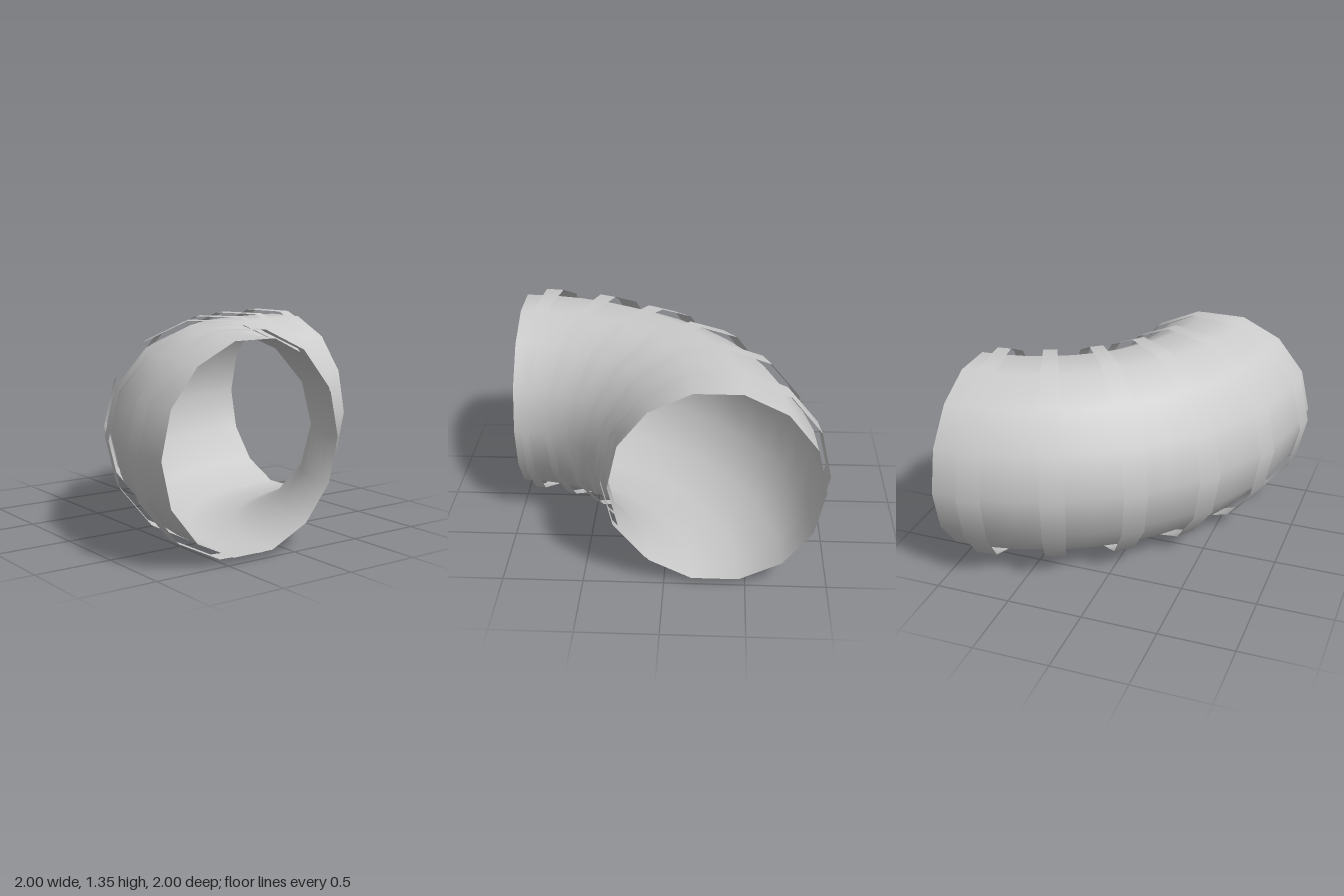
import * as THREE from 'three';

const SIDES = 14;
const BEND_RADIUS = 1.315;
const PIPE_RADIUS = 0.65;
const BAND_RADIUS = 0.694;
const deg = THREE.MathUtils.degToRad;

// Open section of a bent tube, swept about the vertical axis from the back end (0) to the side end (90)
function bendSection(radius, startDeg, sweepDeg, segments) {
  const geometry = new THREE.TorusGeometry(BEND_RADIUS, radius, SIDES, segments, deg(sweepDeg));
  geometry.rotateZ(Math.PI - deg(startDeg + sweepDeg));
  geometry.rotateX(Math.PI / 2);
  return geometry;
}

export function createModel() {
  const model = new THREE.Group();
  model.name = 'elbowPipe';
  const material = new THREE.MeshStandardMaterial({ color: 0xcccccc, side: THREE.DoubleSide });

  // Quarter-turn pipe, open at both ends
  const pipe = new THREE.Mesh(bendSection(PIPE_RADIUS, 0, 90, 12), material);
  pipe.name = 'pipe';
  model.add(pipe);

  // Six thin bands floating just off the pipe
  const bands = new THREE.Group();
  bands.name = 'bands';
  for (let i = 0; i < 6; i++) {
    const band = new THREE.Mesh(bendSection(BAND_RADIUS, 5.25 + i * 15, 4.5, 1), material);
    band.name = `band${i + 1}`;
    bands.add(band);
  }
  model.add(bands);

  // Bend axis sits at the back left corner; the bands' flat bottoms touch the ground
  model.position.set(1, BAND_RADIUS * Math.cos(Math.PI / SIDES), -1);
  const root = new THREE.Group();
  root.add(model);
  return root;
}
